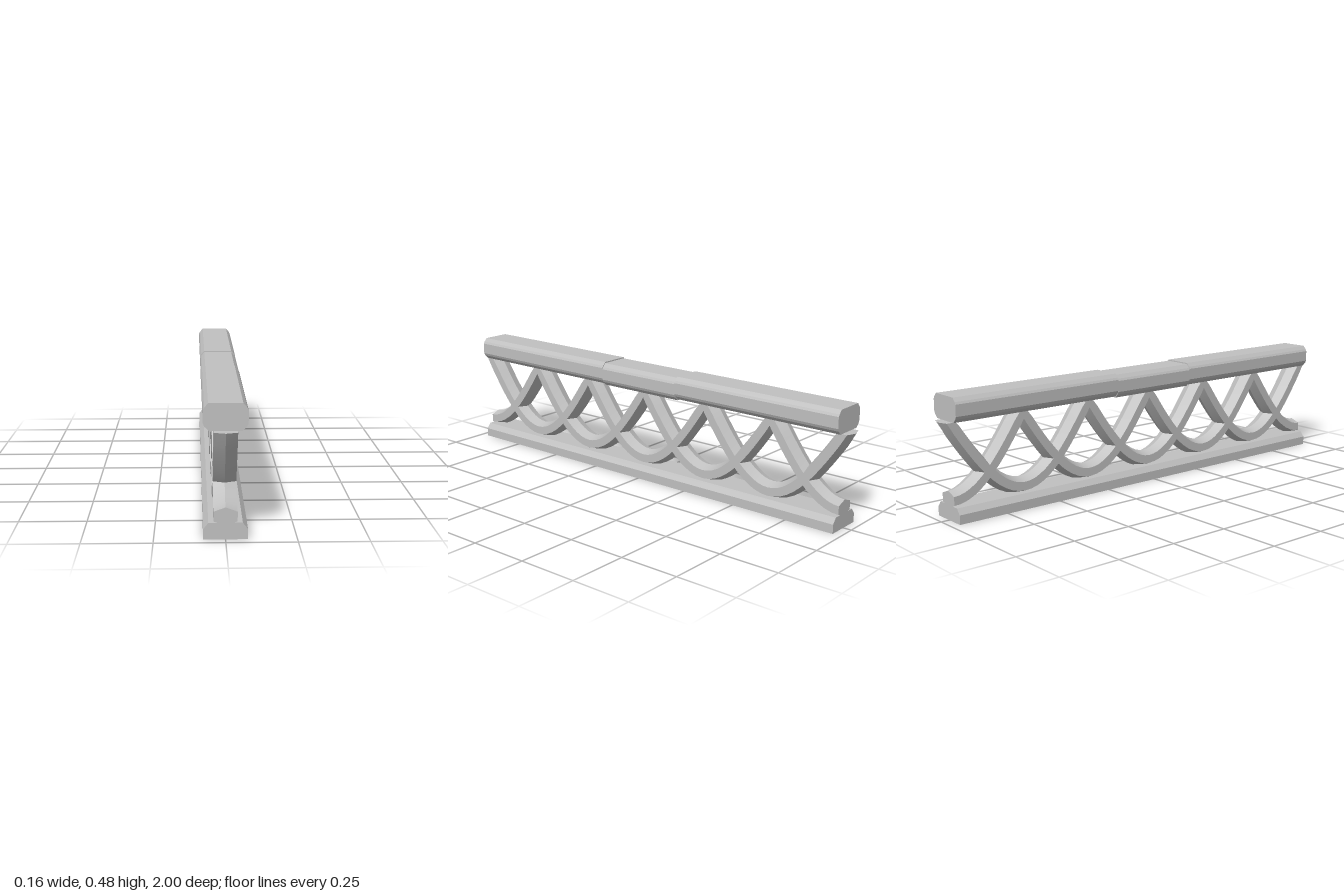
import * as THREE from 'three';
import { toCreasedNormals } from 'three/addons/utils/BufferGeometryUtils.js';

const stone = new THREE.MeshStandardMaterial({ color: 0xc0c0c0 });
stone.name = 'grey stone';

const HALF = 0.965;        // half length of rail and base
const PITCH = HALF / 3;    // spacing of the arches

function addMesh(group, geometry, name) {
  const mesh = new THREE.Mesh(geometry, stone);
  mesh.name = name;
  group.add(mesh);
}

// Prism along z from a right-hand outline (bottom to top), mirrored in x
function bar(outline, z0, z1) {
  const left = outline.map(([x, y]) => [-x, y]).reverse();
  const shape = new THREE.Shape([...outline, ...left].map(([x, y]) => new THREE.Vector2(x, y)));
  const geometry = new THREE.ExtrudeGeometry(shape, { depth: z1 - z0, bevelEnabled: false });
  return geometry.translate(0, 0, z0);
}

// Hanging arch: a ridged six-sided section swept along a bowl curve, t from -1 to 1
function archStrand(t0, t1, centre) {
  const section = [[0.042, -0.0175], [0.042, 0.0175], [0, 0.033],
    [-0.042, 0.0175], [-0.042, -0.0175], [0, -0.033]];
  const count = section.length;
  const steps = Math.round((t1 - t0) * 12);
  const positions = [], indices = [];
  for (let i = 0; i <= steps; i++) {
    const t = t0 + (t1 - t0) * i / steps;
    const z = t * PITCH;
    const y = 0.0825 + 3.54 * z * z - 6.1 * z ** 4;
    const slope = 7.08 * z - 24.4 * z ** 3;
    const length = Math.hypot(1, slope);
    let nz = -slope / length, ny = 1 / length;
    // upper ends are cut level under the rail
    if (Math.abs(t) > 0.999) { nz = -Math.sign(t); ny = 0; }
    for (const [x, n] of section) positions.push(x, y + n * ny, centre + z + n * nz);
  }
  for (let i = 0; i < steps; i++) {
    for (let j = 0; j < count; j++) {
      const k = (j + 1) % count;
      const a = i * count + j, b = i * count + k;
      indices.push(a, b, b + count, a, b + count, a + count);
    }
  }
  // end caps
  const last = steps * count;
  for (let j = 1; j < count - 1; j++) {
    indices.push(0, j + 1, j, last, last + j, last + j + 1);
  }
  const geometry = new THREE.BufferGeometry();
  geometry.setAttribute('position', new THREE.Float32BufferAttribute(positions, 3));
  geometry.setIndex(indices);
  return toCreasedNormals(geometry, 0.45);
}

export function createModel() {
  const model = new THREE.Group();
  model.name = 'balustrade';

  // Base with chamfered top edges
  addMesh(model, bar([[0.078, 0], [0.078, 0.037], [0.06, 0.06]], -HALF, HALF), 'base');

  // Handrail in three lengths, the middle one set slightly lower
  const rail = (dy) => [[0.058, 0.386], [0.073, 0.401], [0.078, 0.412], [0.078, 0.458], [0.073, 0.467], [0.06, 0.482]]
    .map(([x, y]) => [x, y + dy]);
  addMesh(model, bar(rail(0), 0.2, HALF), 'frontRail');
  addMesh(model, bar(rail(-0.005), -0.2, 0.2), 'middleRail');
  addMesh(model, bar(rail(0), -HALF, -0.2), 'backRail');

  // Interlaced arches, with half arches at both ends
  for (let i = -3; i <= 3; i++) {
    const t0 = i === -3 ? 0 : -1;
    const t1 = i === 3 ? 0 : 1;
    addMesh(model, archStrand(t0, t1, i * PITCH), Math.abs(i) === 3 ? 'halfArch' : 'arch');
  }
  return model;
}
